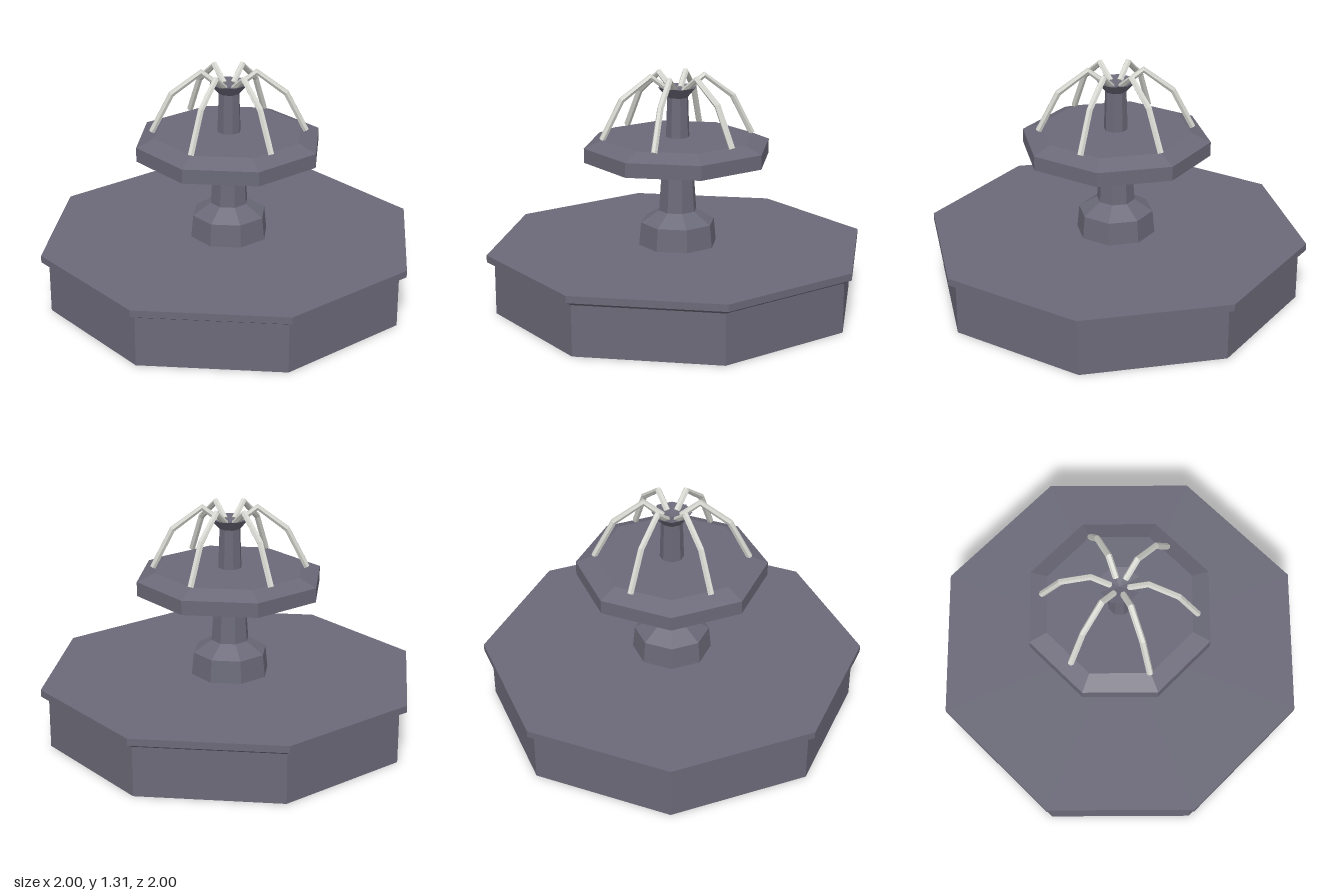
import * as THREE from 'three';

const stone = new THREE.MeshStandardMaterial({ color: 0x6b6978 });
stone.name = 'stone';
const water = new THREE.MeshStandardMaterial({ color: 0xd6d6d0 });
water.name = 'water';

// Faceted mesh with one normal per face
function facetedMesh(name, geometry, material) {
  const flat = geometry.toNonIndexed();
  flat.computeVertexNormals();
  const mesh = new THREE.Mesh(flat, material);
  mesh.name = name;
  return mesh;
}

// Eight-sided solid; profile pairs are [distance from axis to flat side, height], bottom to top
function octagonal(name, profile) {
  const scale = 1 / Math.cos(Math.PI / 8);
  const points = profile.map(([r, y]) => new THREE.Vector2(r * scale, y));
  return facetedMesh(name, new THREE.LatheGeometry(points, 8, Math.PI / 8), stone);
}

// Bent rod following [radius, height] points, mitred at each bend
function jetGeometry(path, thickness) {
  const pts = path.map(([x, y]) => new THREE.Vector2(x, y));
  const last = pts.length - 1;
  const geo = new THREE.CylinderGeometry(thickness, thickness, 1, 6, last);
  const pos = geo.attributes.position;
  for (let i = 0; i < pos.count; i++) {
    const k = Math.round((0.5 - pos.getY(i)) * last);
    const before = pts[Math.min(k, last - 1) + 1].clone().sub(pts[Math.min(k, last - 1)]).normalize();
    const after = pts[Math.max(k, 1)].clone().sub(pts[Math.max(k, 1) - 1]).normalize();
    const t = before.add(after).normalize();
    const x = pos.getX(i);
    pos.setXYZ(i, pts[k].x - t.y * x, pts[k].y + t.x * x, pos.getZ(i));
  }
  return geo;
}

export function createModel() {
  const fountain = new THREE.Group();
  fountain.name = 'fountain';

  // Stone body, from the ground up
  fountain.add(
    octagonal('basin', [[0, 0], [0.96, 0], [0.96, 0.285], [0, 0.285]]),
    octagonal('basinRim', [[0, 0.28], [0.96, 0.28], [1, 0.303], [1, 0.342], [0, 0.342]]),
    octagonal('pedestal', [[0.207, 0.34], [0.195, 0.47], [0.1, 0.535], [0, 0.535]]),
    octagonal('column', [[0.1, 0.53], [0.08, 0.84]]),
    octagonal('upperBowl', [[0, 0.835], [0.49, 0.835], [0.49, 0.915], [0.395, 0.957], [0, 0.957]]),
    octagonal('spout', [[0.062, 0.955], [0.055, 1.18], [0.102, 1.237], [0, 1.21]])
  );

  // Six water jets arching into the bowl
  const jets = new THREE.Group();
  jets.name = 'waterJets';
  const path = [[0.05, 1.22], [0.152, 1.298], [0.315, 1.175], [0.427, 0.957]];
  for (let i = 0; i < 6; i++) {
    const jet = facetedMesh('waterJet', jetGeometry(path, 0.018), water);
    jet.rotation.y = THREE.MathUtils.degToRad(22 + i * 60);
    jets.add(jet);
  }
  fountain.add(jets);
  return fountain;
}
